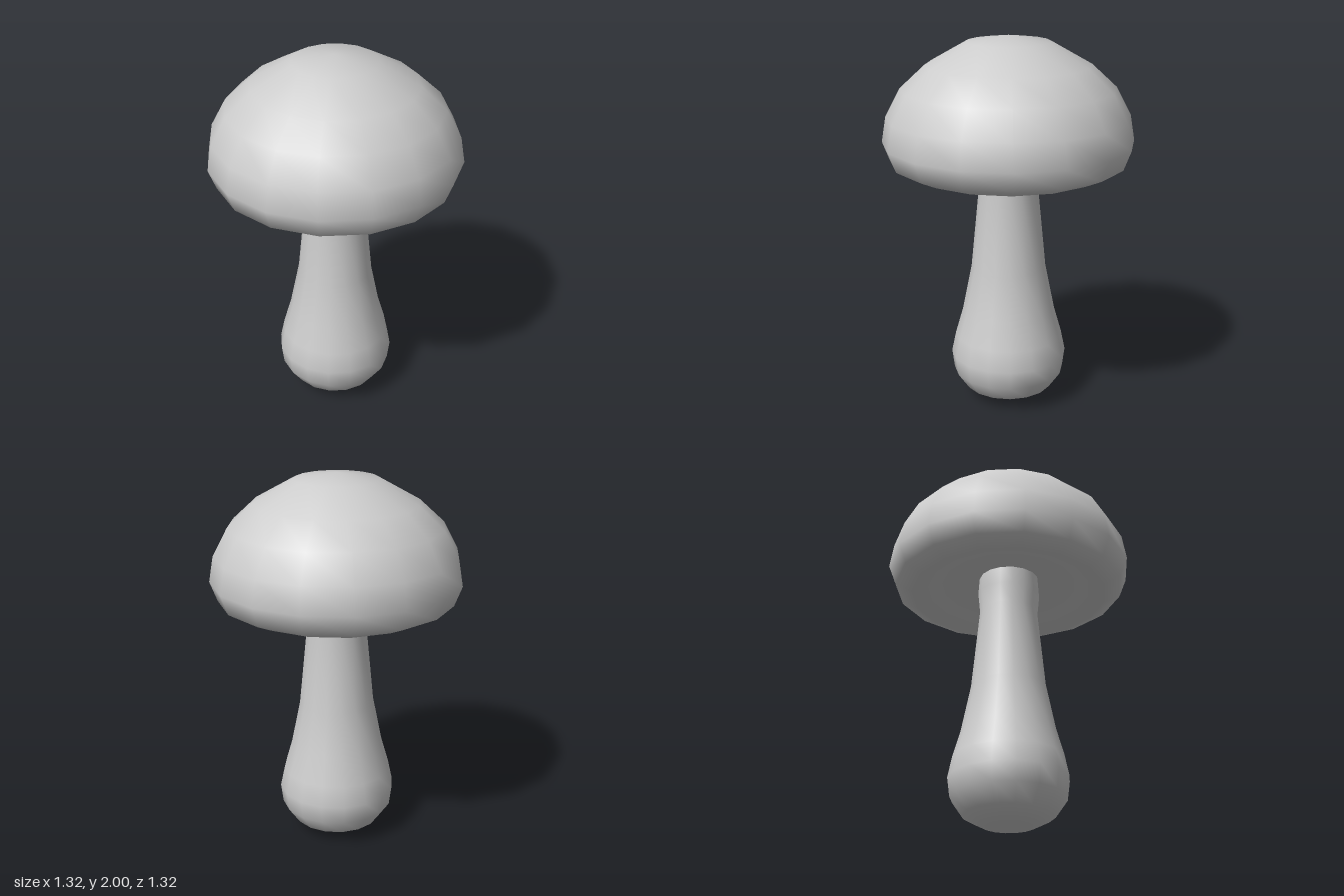
import * as THREE from 'three';
import { mergeVertices } from 'three/addons/utils/BufferGeometryUtils.js';

const SIDES = 16;

// Turned shape with smooth normals across the seam and poles; profile runs [radius, height] from bottom to top
function turned(name, profile, material) {
  const lathe = new THREE.LatheGeometry(profile.map(([r, y]) => new THREE.Vector2(r, y)), SIDES);
  lathe.deleteAttribute('normal');
  lathe.deleteAttribute('uv');
  const geometry = mergeVertices(lathe);
  geometry.computeVertexNormals();
  const mesh = new THREE.Mesh(geometry, material);
  mesh.name = name;
  return mesh;
}

export function createModel() {
  const group = new THREE.Group();
  group.name = 'mushroom';

  const grey = new THREE.MeshStandardMaterial({ color: 0xcccccc });
  grey.name = 'light grey';

  // Stem with a bulbous foot, slightly flared where it meets the cap
  group.add(turned('stem', [
    [0, 0], [0.14, 0.02], [0.237, 0.07], [0.30, 0.16], [0.313, 0.26], [0.29, 0.37],
    [0.25, 0.51], [0.20, 0.76], [0.157, 1.2], [0.168, 1.31], [0.16, 1.42],
  ], grey));

  // Domed cap with a rolled rim and a hollow underside
  group.add(turned('cap', [
    [0, 1.41], [0.25, 1.40], [0.42, 1.35], [0.52, 1.30], [0.62, 1.345], [0.66, 1.45],
    [0.637, 1.585], [0.56, 1.73], [0.43, 1.85], [0.22, 1.968], [0, 2],
  ], grey));

  return group;
}
